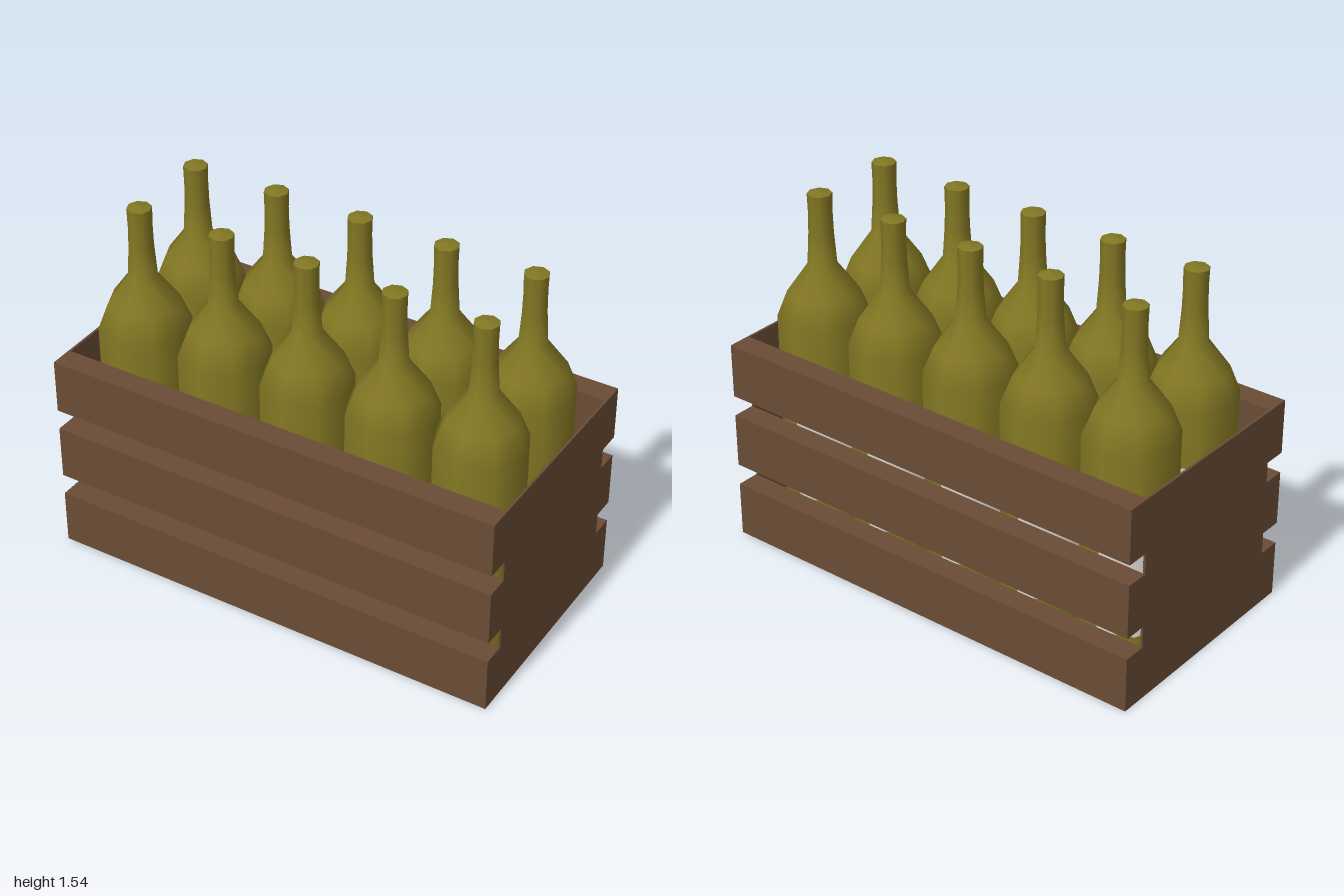
import * as THREE from 'three';

const wood = new THREE.MeshStandardMaterial({ name: 'brown wood', color: 0x6a4c36 });
const glass = new THREE.MeshStandardMaterial({ name: 'olive glass', color: 0x827723 });
const paper = new THREE.MeshStandardMaterial({ name: 'white paper', color: 0xd8d6d2, side: THREE.DoubleSide });

const SIDES = 8;
const RADIUS = 0.191;

function addMesh(parent, name, geometry, material, x = 0, y = 0, z = 0) {
  const mesh = new THREE.Mesh(geometry, material);
  mesh.name = name;
  mesh.position.set(x, y, z);
  parent.add(mesh);
  return mesh;
}

// Open crate: thin floor and ends, three thick slats on each long side
function createCrate() {
  const crate = new THREE.Group();
  crate.name = 'crate';
  addMesh(crate, 'floor', new THREE.BoxGeometry(2, 0.01, 0.82), wood, 0, 0.005, 0);
  const endGeometry = new THREE.BoxGeometry(0.01, 0.89, 0.82);
  for (const side of [-1, 1]) {
    addMesh(crate, side > 0 ? 'leftEnd' : 'rightEnd', endGeometry, wood, side * 0.995, 0.455, 0);
    for (const [bottom, top] of [[0, 0.24], [0.335, 0.572], [0.663, 0.9]]) {
      addMesh(crate, side > 0 ? 'frontSlat' : 'backSlat',
        new THREE.BoxGeometry(2, top - bottom, 0.1), wood, 0, (top + bottom) / 2, side * 0.46);
    }
  }
  return crate;
}

// Eight-sided bottle with labels wrapped round its right half
function createBottle() {
  const bottle = new THREE.Group();
  bottle.name = 'bottle';
  const profile = [
    [RADIUS, 0.02], [RADIUS, 0.5], [RADIUS, 0.995], [0.147, 1.105],
    [0.06, 1.225], [0.051, 1.36], [0.049, 1.45], [0.051, 1.53],
  ].map(([r, y]) => new THREE.Vector2(r, y));
  addMesh(bottle, 'bottleBody', new THREE.LatheGeometry(profile, SIDES), glass);
  addMesh(bottle, 'bottleTop', new THREE.ConeGeometry(0.051, 0.01, SIDES, 1, true), glass, 0, 1.535, 0);
  const base = addMesh(bottle, 'bottleBase', new THREE.CircleGeometry(RADIUS, SIDES), glass, 0, 0.02, 0);
  base.rotation.x = Math.PI / 2;

  // Main label and a lower strip
  for (const [name, bottom, top] of [['lowerLabel', 0.2, 0.312], ['mainLabel', 0.322, 0.76]]) {
    addMesh(bottle, name, new THREE.CylinderGeometry(RADIUS + 0.002, RADIUS + 0.002, top - bottom,
      SIDES / 2, 1, true, Math.PI, Math.PI), paper, 0, (top + bottom) / 2, 0);
  }
  return bottle;
}

export function createModel() {
  const model = new THREE.Group();
  model.name = 'bottleCrate';
  model.add(createCrate());

  // Two rows of five bottles
  const prototype = createBottle();
  for (const z of [-0.194, 0.194]) {
    for (let i = -2; i <= 2; i++) {
      const bottle = prototype.clone();
      bottle.position.set(i * 0.385, 0, z);
      model.add(bottle);
    }
  }
  return model;
}
